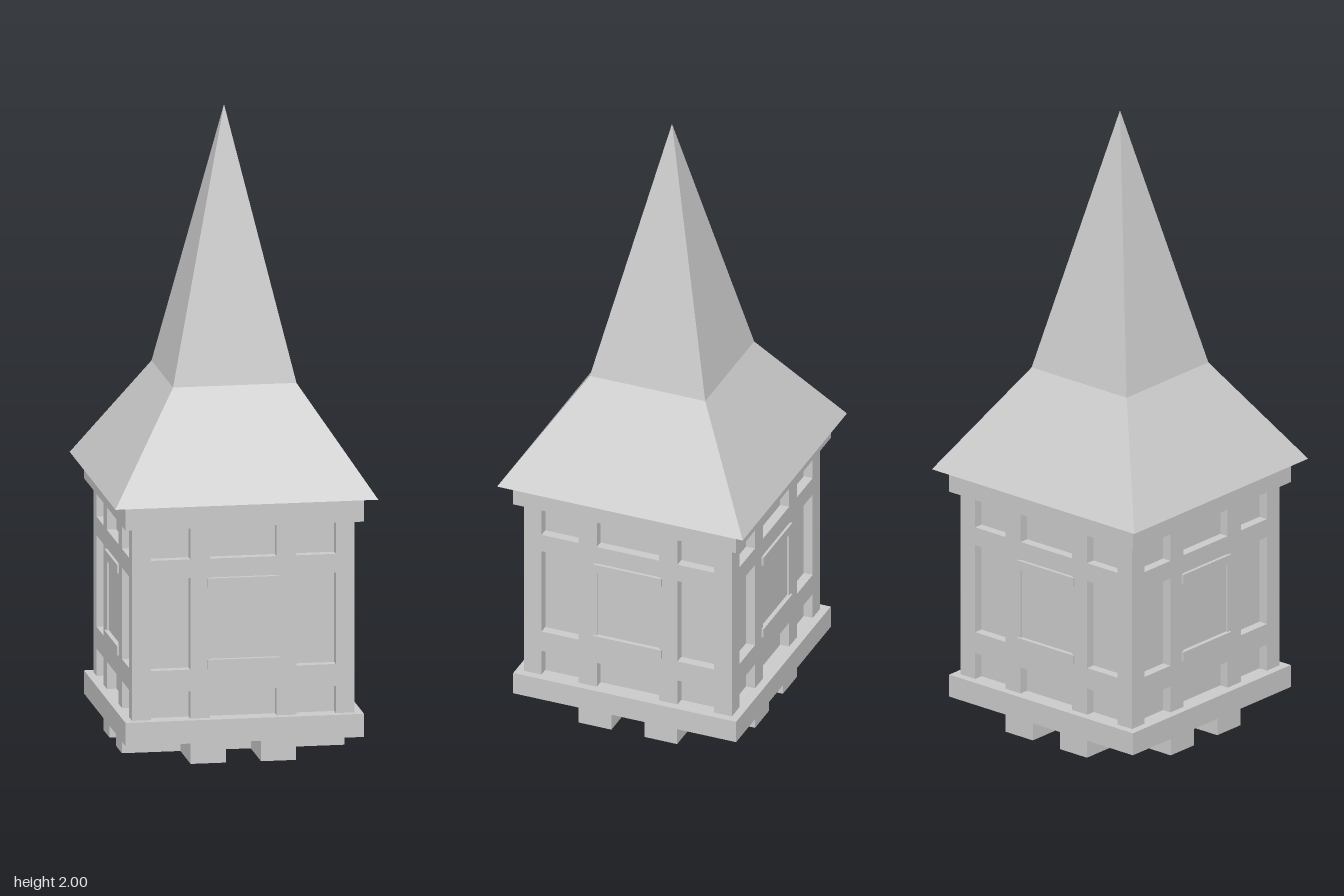
import * as THREE from 'three';

const grey = new THREE.MeshStandardMaterial({ color: 0xcccccc, flatShading: true });

// Box given by its limits on each axis
function box(parent, name, [x0, x1], [y0, y1], [z0, z1]) {
  const mesh = new THREE.Mesh(new THREE.BoxGeometry(x1 - x0, y1 - y0, z1 - z0), grey);
  mesh.position.set((x0 + x1) / 2, (y0 + y1) / 2, (z0 + z1) / 2);
  mesh.name = name;
  parent.add(mesh);
}

// Square frustum with half-widths r0 (bottom) and r1 (top)
function squareRoof(parent, name, r0, r1, y0, y1, openEnded) {
  const geo = new THREE.CylinderGeometry(r1 * Math.SQRT2, r0 * Math.SQRT2, y1 - y0, 4, 1, openEnded);
  geo.rotateY(Math.PI / 4);
  const mesh = new THREE.Mesh(geo, grey);
  mesh.position.y = (y0 + y1) / 2;
  mesh.name = name;
  parent.add(mesh);
}

// Timber-framed wall facing +z
function createWall() {
  const wall = new THREE.Group();
  wall.name = 'wall';
  const depth = [0.31, 0.348];
  box(wall, 'lowerRail', [-0.289, 0.289], [0.229, 0.298], depth);
  box(wall, 'upperRail', [-0.289, 0.289], [0.587, 0.646], depth);
  for (const s of [-1, 1]) {
    const span = [s * 0.135 - 0.031, s * 0.135 + 0.031];
    box(wall, 'lowerStud', span, [0.143, 0.229], depth);
    box(wall, 'middleStud', span, [0.298, 0.587], depth);
    box(wall, 'upperStud', span, [0.646, 0.75], depth);
  }
  // Shutter panel with a ledge above and below
  box(wall, 'windowPanel', [-0.104, 0.104], [0.298, 0.587], [0.31, 0.341]);
  box(wall, 'windowSill', [-0.114, 0.114], [0.298, 0.328], [0.33, 0.355]);
  box(wall, 'windowLintel', [-0.114, 0.114], [0.556, 0.585], [0.33, 0.355]);
  return wall;
}

export function createModel() {
  const model = new THREE.Group();
  model.name = 'tower';

  // Crossed floor beams
  for (const s of [-1, 1]) {
    const across = [s * 0.11 - 0.055, s * 0.11 + 0.055];
    box(model, 'floorBeam', across, [0, 0.07], [-0.348, 0.348]);
    box(model, 'crossBeam', [-0.348, 0.348], [0, 0.07], across);
  }

  // Floor, plaster core and top plate
  box(model, 'floorPlate', [-0.373, 0.373], [0.07, 0.143], [-0.373, 0.373]);
  box(model, 'plasterCore', [-0.318, 0.318], [0.143, 0.75], [-0.318, 0.318]);
  box(model, 'topPlate', [-0.373, 0.373], [0.75, 0.826], [-0.373, 0.373]);

  // Four walls and corner posts
  for (let i = 0; i < 4; i++) {
    const side = createWall();
    box(side, 'cornerPost', [0.289, 0.348], [0.143, 0.75], [0.289, 0.348]);
    side.rotation.y = i * Math.PI / 2;
    model.add(side);
  }

  // Flared eaves and spire
  squareRoof(model, 'eaves', 0.411, 0.193, 0.826, 1.155, false);
  squareRoof(model, 'spire', 0.193, 0, 1.155, 2, true);
  return model;
}
